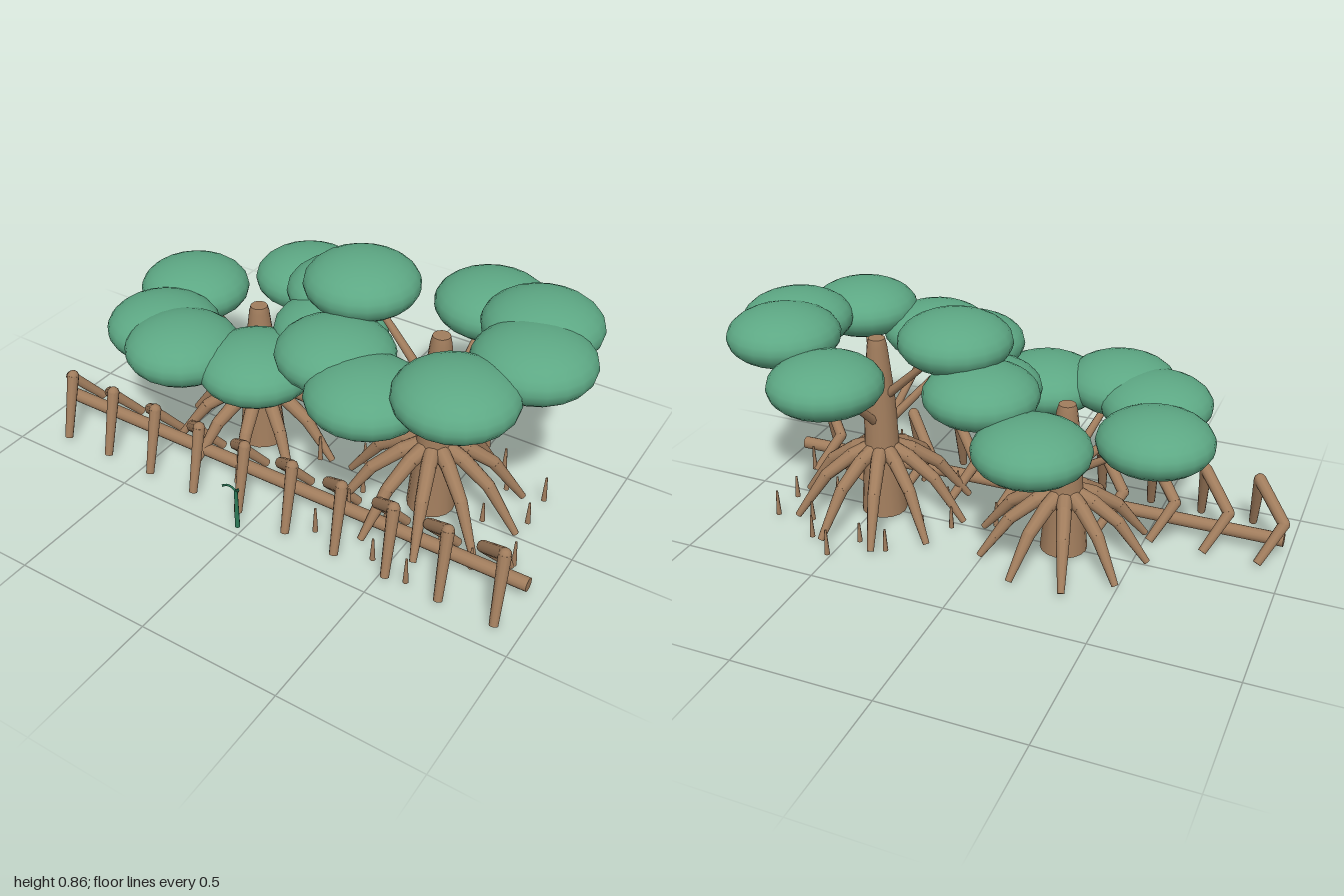
import * as THREE from 'three';
import { mergeGeometries } from 'three/addons/utils/BufferGeometryUtils.js';

const bark = new THREE.MeshStandardMaterial({ color: 0xa17d5d });
bark.name = 'bark brown';
const leaf = new THREE.MeshStandardMaterial({ color: 0x5da884 });
leaf.name = 'canopy green';
const sprout = new THREE.MeshStandardMaterial({ color: 0x2c7a58 });
sprout.name = 'seedling green';

const V = (x, y, z) => new THREE.Vector3(x, y, z);

// Jointed limb: tapered cylinders between points, rounded at each bend
function limb(points, radii, sides = 10) {
  const parts = [];
  for (let i = 0; i < points.length - 1; i++) {
    const dir = points[i + 1].clone().sub(points[i]);
    const g = new THREE.CylinderGeometry(radii[i + 1], radii[i], dir.length(), sides);
    g.applyQuaternion(new THREE.Quaternion().setFromUnitVectors(V(0, 1, 0), dir.clone().normalize()));
    const mid = points[i].clone().add(points[i + 1]).multiplyScalar(0.5);
    parts.push(g.translate(mid.x, mid.y, mid.z));
    if (i > 0) {
      parts.push(new THREE.SphereGeometry(radii[i], sides, 6).translate(points[i].x, points[i].y, points[i].z));
    }
  }
  return mergeGeometries(parts);
}

function add(group, name, geometry, material) {
  const mesh = new THREE.Mesh(geometry, material);
  mesh.name = name;
  group.add(mesh);
  return mesh;
}

// Tree with tapered trunk, arching stilt roots, branches and flattened leaf clumps
function tree(name, x, height, spread, rootHeight, branchRise, clumps) {
  const g = new THREE.Group();
  g.name = name;
  g.position.x = x;

  const profile = [[0, 0], [0.085, 0], [0.064, 0.4], [0.056, 0.68], [0.036, 0.96], [0.03, 1], [0, 1]];
  const trunkPoints = profile.map(([r, h]) => new THREE.Vector2(r, h * height));
  const trunk = new THREE.LatheGeometry(trunkPoints.slice(1, 6), 16);
  add(g, 'trunk', trunk, bark);
  add(g, 'trunkTop', new THREE.CircleGeometry(0.03, 16).rotateX(-Math.PI / 2).translate(0, height, 0), bark);
  add(g, 'trunkBase', new THREE.CircleGeometry(0.085, 16).rotateX(Math.PI / 2), bark);

  const rootCount = 10;
  for (let i = 0; i < rootCount; i++) {
    const a = (i / rootCount) * Math.PI * 2;
    const path = [[0.03, 0.265], [0.11, 0.235], [0.21, 0.165], [0.265, 0.09], [0.325, 0.008]]
      .map(([r, y]) => V(Math.cos(a) * r * spread, y * rootHeight, Math.sin(a) * r * spread));
    add(g, 'stiltRoot', limb(path, [0.03, 0.027, 0.023, 0.018, 0.012]), bark);
  }

  for (const [cx, cy, cz] of clumps) {
    add(g, 'branch', limb([V(0, cy - branchRise, 0), V(cx, cy, cz)], [0.018, 0.01], 8), bark);
    const clump = add(g, 'leafClump', new THREE.SphereGeometry(1, 20, 14), leaf);
    clump.scale.set(0.198, 0.1, 0.198);
    clump.position.set(cx, cy, cz);
  }
  return g;
}

export function createModel() {
  const model = new THREE.Group();
  model.name = 'mangroveGrove';

  model.add(tree('tallTree', 0.47, 0.69, 1, 1, 0.31, [
    [-0.33, 0.755, -0.055], [-0.27, 0.64, 0.205], [-0.085, 0.615, 0.32], [0.19, 0.685, 0.27],
    [0.32, 0.715, 0.01], [0.265, 0.73, -0.175], [0.02, 0.65, -0.33],
  ]));
  model.add(tree('shortTree', -0.245, 0.565, 0.95, 0.87, 0.22, [
    [-0.325, 0.515, -0.055], [-0.25, 0.515, 0.22], [-0.095, 0.53, 0.31], [0.165, 0.51, 0.25],
    [0.3, 0.575, 0], [0.245, 0.63, -0.165], [0.01, 0.54, -0.31],
  ]));

  // Long fallen log with a row of bent roots straddling it
  const log = new THREE.CylinderGeometry(0.024, 0.024, 1.93, 14).rotateZ(Math.PI / 2).translate(-0.015, 0.055, 0.245);
  add(model, 'log', log, bark);
  for (let i = 0; i < 10; i++) {
    const path = [V(0.02, 0.004, 0.415), V(0, 0.228, 0.335), V(-0.115, 0.125, 0.235), V(-0.05, 0.004, 0.14)];
    add(model, 'bentRoot', limb(path, [0.015, 0.022, 0.021, 0.016]), bark).position.x = -0.86 + i * 0.195;
  }

  // Breathing roots scattered around the tall tree
  for (let i = 0; i < 20; i++) {
    const a = i * 2.4;
    const r = 0.2 + 0.26 * ((i * 7) % 20) / 20;
    const h = 0.075 + 0.012 * (i % 3);
    const spike = new THREE.CylinderGeometry(0.004, 0.01, h, 7);
    add(model, 'breathingRoot', spike, bark).position.set(0.47 + Math.cos(a) * r, 0.008 + h / 2, Math.sin(a) * r);
  }

  // Seedling with drooping leaves
  const seedling = new THREE.Group();
  seedling.name = 'seedling';
  seedling.position.set(-0.02, 0, 0.472);
  add(seedling, 'stem', new THREE.CylinderGeometry(0.006, 0.009, 0.16, 8).translate(0, 0.08, 0), sprout);
  for (const s of [-1, 1]) {
    const curve = new THREE.CatmullRomCurve3([
      V(0, 0.155, 0), V(s * 0.012, 0.172, 0.006), V(s * 0.024, 0.184, 0.018), V(s * 0.032, 0.188, 0.034),
    ]);
    add(seedling, 'seedlingLeaf', new THREE.TubeGeometry(curve, 10, 0.004, 6), sprout);
  }
  model.add(seedling);
  return model;
}
